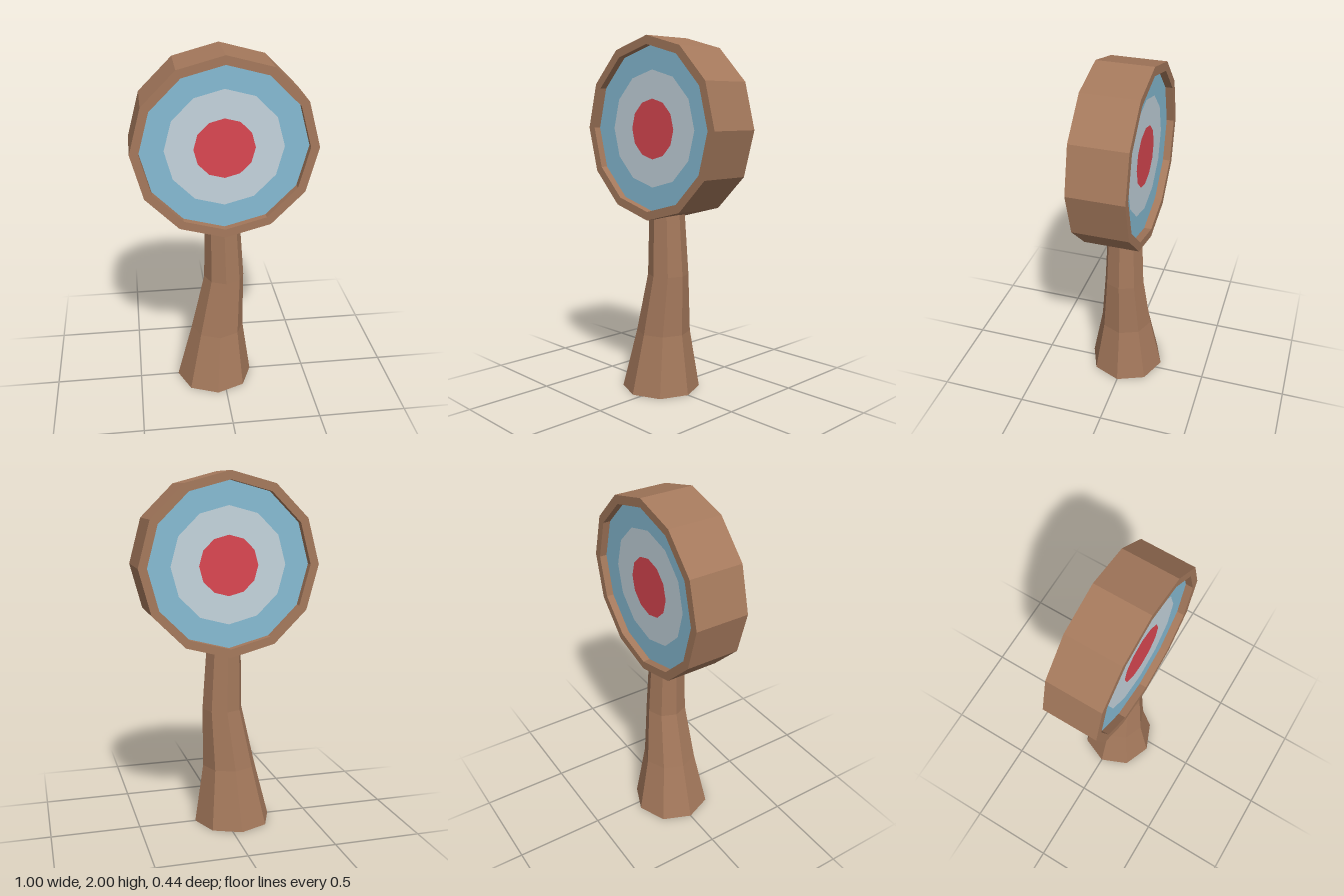
import * as THREE from 'three';

const mat = (name, color, side = THREE.FrontSide) => {
  const m = new THREE.MeshStandardMaterial({ color, side, flatShading: true });
  m.name = name;
  return m;
};

// Twelve-sided outline with a corner at the top
const polygon = (r, PathType) => {
  const pts = [];
  for (let i = 0; i < 12; i++) {
    const a = Math.PI / 2 + (i * Math.PI) / 6;
    pts.push(new THREE.Vector2(r * Math.cos(a), r * Math.sin(a)));
  }
  return new PathType(pts);
};

export function createModel() {
  const group = new THREE.Group();
  const wood = mat('wood', 0xa5795c, THREE.DoubleSide);
  const blue = mat('blue paint', 0x86bbd3);
  const white = mat('pale grey paint', 0xc4d4dd);
  const red = mat('red paint', 0xdb4751);

  const add = (name, geometry, material, parent = group) => {
    const mesh = new THREE.Mesh(geometry, material);
    mesh.name = name;
    parent.add(mesh);
    return mesh;
  };

  // Crooked, open-ended post: [y, centre x, radius] from top to bottom
  const sections = [[1.03, 0, 0.1], [0.68, 0.01, 0.115], [0.34, -0.03, 0.153], [0, -0.05, 0.222]];
  const post = new THREE.CylinderGeometry(1, 1, 1, 8, 3, true);
  const p = post.attributes.position;
  for (let i = 0; i < p.count; i++) {
    const [y, cx, r] = sections[Math.floor(i / 9)];
    p.setXYZ(i, cx + p.getX(i) * r, y, p.getZ(i) * r);
  }
  post.computeVertexNormals();
  add('post', post, wood);

  // Target head with a raised rim
  const head = new THREE.Group();
  head.name = 'targetHead';
  head.position.y = 1.5;
  group.add(head);
  const outline = polygon(0.5, THREE.Shape);
  outline.holes.push(polygon(0.452, THREE.Path));
  const frame = new THREE.ExtrudeGeometry(outline, { depth: 0.306, bevelEnabled: false });
  frame.translate(0, 0, -0.153);
  add('rim', frame, wood, head);

  // Recessed painted rings on both faces
  for (const [label, turn] of [['front', 0], ['back', Math.PI]]) {
    const face = new THREE.Group();
    face.name = label + 'Face';
    face.rotation.y = turn;
    head.add(face);
    const ring = (name, inner, outer, material) => {
      const g = inner
        ? new THREE.RingGeometry(inner, outer, 12, 1, Math.PI / 2)
        : new THREE.CircleGeometry(outer, 12, Math.PI / 2);
      add(name, g, material, face).position.z = 0.112;
    };
    ring('outerRing', 0.32, 0.452, blue);
    ring('middleRing', 0.165, 0.32, white);
    ring('bullseye', 0, 0.165, red);
  }
  return group;
}
